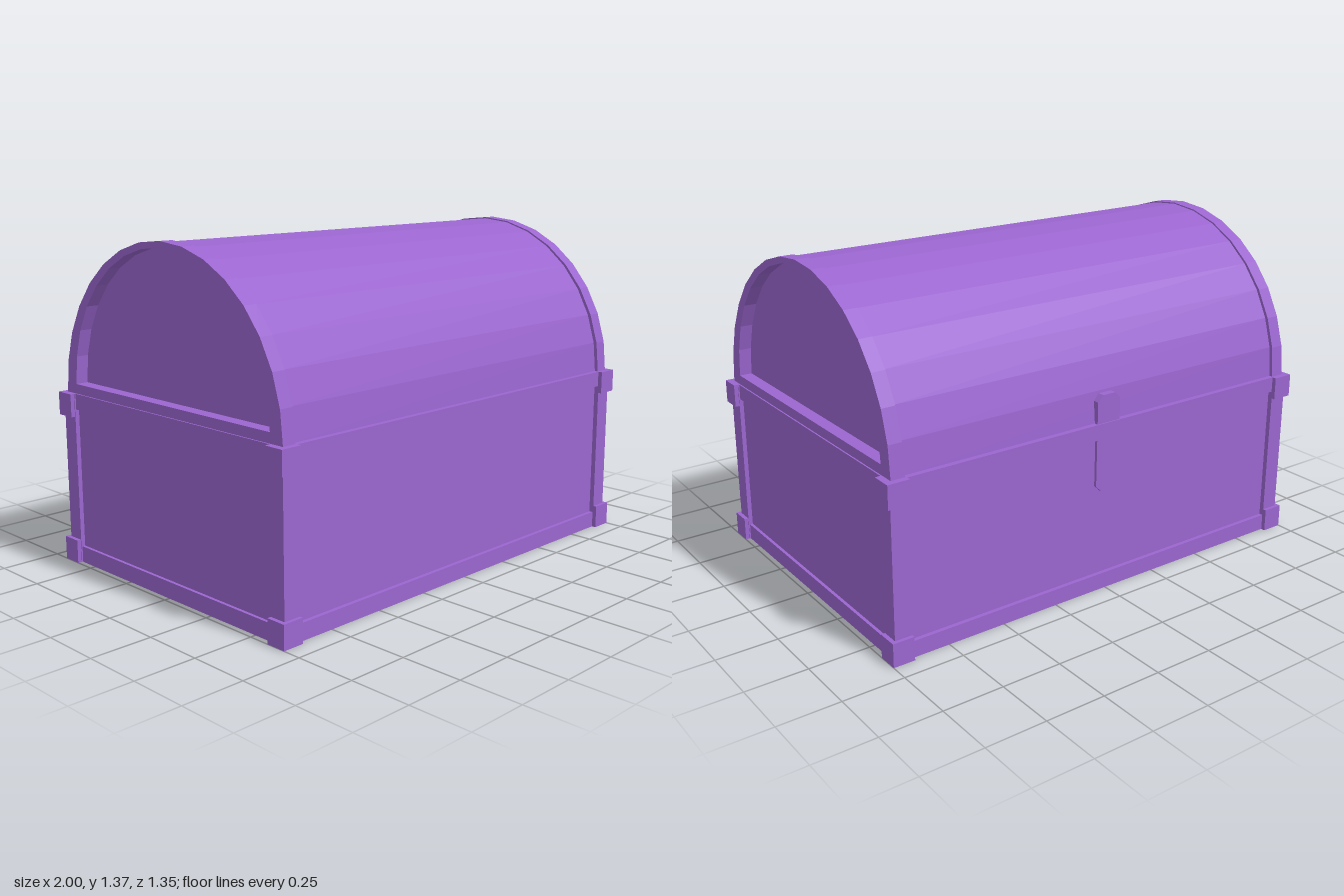
import * as THREE from 'three';

const material = new THREE.MeshStandardMaterial({ color: 0x9b66d0, flatShading: true });
const SEAM = 0.715; // height where the lid meets the body

export function createModel() {
  const chest = new THREE.Group();
  chest.name = 'chest';

  const add = (name, geometry) => {
    const mesh = new THREE.Mesh(geometry, material);
    mesh.name = name;
    chest.add(mesh);
    return mesh;
  };

  // Box given by its low and high corners
  const box = (name, x0, x1, y0, y1, z0, z1) =>
    add(name, new THREE.BoxGeometry(x1 - x0, y1 - y0, z1 - z0))
      .position.set((x0 + x1) / 2, (y0 + y1) / 2, (z0 + z1) / 2);

  // Box on the +x or -x, +z or -z side
  const sideBox = (name, sx, x0, x1, y0, y1, sz, z0, z1) =>
    box(name, Math.min(sx * x0, sx * x1), Math.max(sx * x0, sx * x1), y0, y1,
      Math.min(sz * z0, sz * z1), Math.max(sz * z0, sz * z1));

  // Half-round outline with 16 facets
  const arch = (rz, ry, y) => Array.from({ length: 17 }, (_, i) => {
    const a = (i / 16) * Math.PI;
    return new THREE.Vector2(Math.cos(a) * rz, y + Math.sin(a) * ry);
  });

  // Profile in the z-y plane extruded along x
  const extrudeX = (shape, x0, x1) =>
    new THREE.ExtrudeGeometry(shape, { depth: x1 - x0, bevelEnabled: false })
      .translate(0, 0, x0).rotateY(Math.PI / 2);

  // Body panels
  box('body', -0.965, 0.965, 0.003, SEAM - 0.003, -0.64, 0.64);

  // Rails along the top and bottom edges
  for (const [y0, y1] of [[0, 0.068], [0.65, SEAM]]) {
    for (const s of [-1, 1]) {
      sideBox('longRail', 1, -0.91, 0.91, y0, y1, s, 0.6, 0.657);
      sideBox('endRail', s, 0.92, 0.978, y0, y1, 1, -0.587, 0.587);
    }
  }

  // Corner posts with raised caps at foot and top
  for (const sx of [-1, 1]) {
    for (const sz of [-1, 1]) {
      sideBox('cornerPost', sx, 0.91, 0.983, 0.001, SEAM - 0.001, sz, 0.587, 0.66);
      sideBox('footCap', sx, 0.91, 1, 0, 0.097, sz, 0.59, 0.675);
      sideBox('topCap', sx, 0.91, 1, 0.62, SEAM, sz, 0.59, 0.675);
    }
  }

  // Barrel lid
  add('lid', extrudeX(new THREE.Shape(arch(0.635, 0.645, SEAM)), -0.92, 0.92));

  // Arched bands framing the recessed lid ends
  const band = new THREE.Shape(arch(0.65, 0.65, SEAM));
  band.holes.push(new THREE.Path(arch(0.585, 0.585, 0.755)));
  add('lidBand', extrudeX(band, 0.915, 0.972));
  add('lidBand', extrudeX(band, -0.972, -0.915));

  // Latch plate with clipped corners on the -z side
  const w = 0.055, c = 0.025, top = 0.83, bottom = 0.43;
  const plate = new THREE.Shape([
    [-w, bottom + c], [-w + c, bottom], [w - c, bottom], [w, bottom + c],
    [w, top - c], [w - c, top], [-w + c, top], [-w, top - c],
  ].map(([x, y]) => new THREE.Vector2(x, y)));
  add('latch', new THREE.ExtrudeGeometry(plate, { depth: 0.05, bevelEnabled: false }))
    .position.z = -0.652;

  return chest;
}
